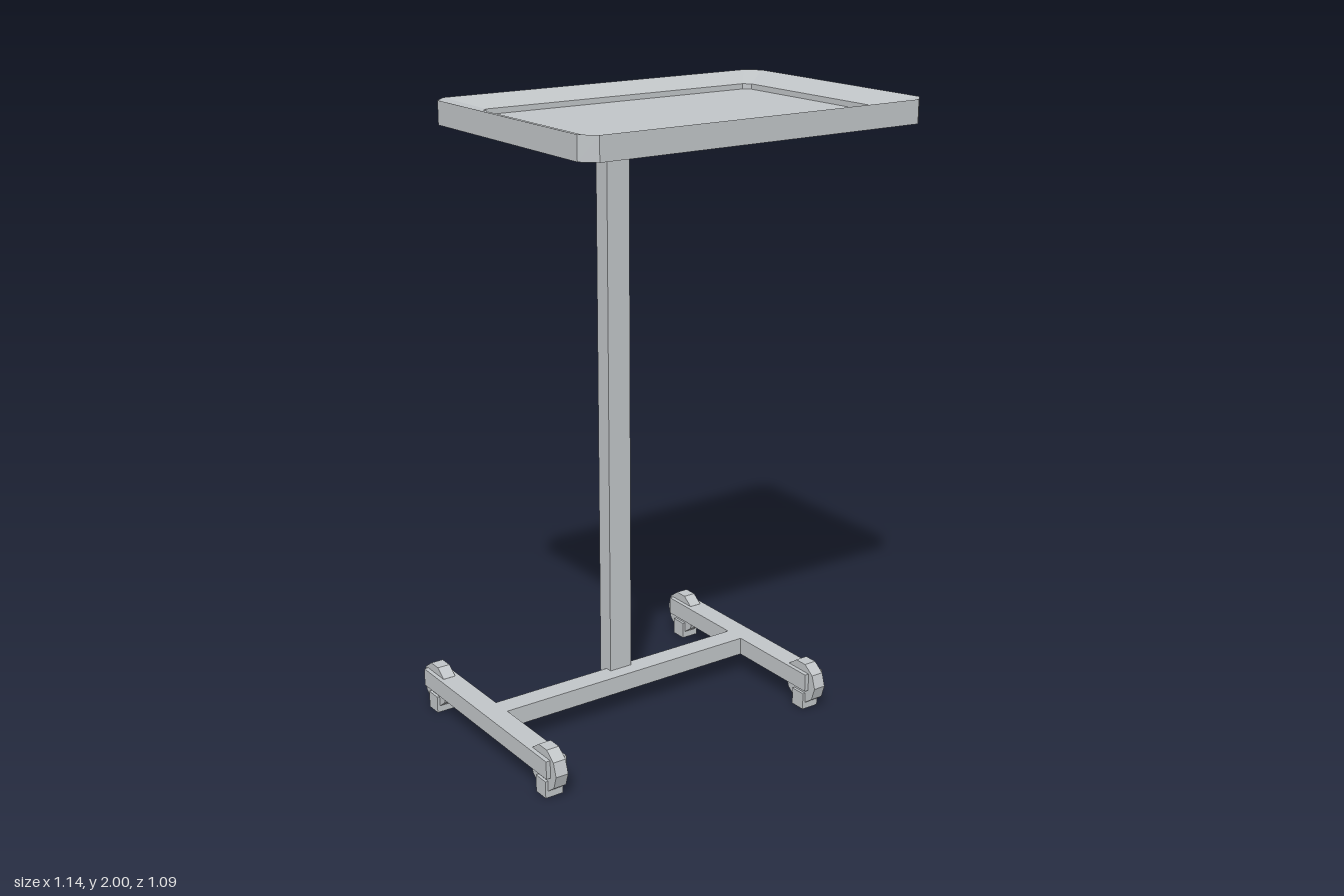
import * as THREE from 'three';

const metal = new THREE.MeshStandardMaterial({ color: 0xc0c4c7 });
metal.name = 'brushed grey metal';

function addMesh(parent, name, geometry, x, y, z) {
  const mesh = new THREE.Mesh(geometry, metal);
  mesh.name = name;
  mesh.position.set(x, y, z);
  parent.add(mesh);
  return mesh;
}

function addBox(parent, name, w, h, d, x, y, z) {
  return addMesh(parent, name, new THREE.BoxGeometry(w, h, d), x, y, z);
}

// Rectangle with cut corners at height y, counter-clockwise seen from above
function cutRectangle(halfX, halfZ, cut, y) {
  const a = halfX - cut, b = halfZ - cut;
  return [
    [halfX, b], [halfX, -b], [a, -halfZ], [-a, -halfZ],
    [-halfX, -b], [-halfX, b], [-a, halfZ], [a, halfZ],
  ].map(([x, z]) => new THREE.Vector3(x, y, z));
}

// Skin a series of loops and close the first and last one
function loftLoops(loops) {
  const points = [];
  const n = loops[0].length;
  for (let k = 0; k < loops.length - 1; k++) {
    const low = loops[k], high = loops[k + 1];
    for (let i = 0; i < n; i++) {
      const j = (i + 1) % n;
      points.push(low[i], low[j], high[j], low[i], high[j], high[i]);
    }
  }
  const first = loops[0], last = loops[loops.length - 1];
  for (let i = 1; i < n - 1; i++) {
    points.push(first[0], first[i + 1], first[i]);
    points.push(last[0], last[i], last[i + 1]);
  }
  const geometry = new THREE.BufferGeometry().setFromPoints(points);
  geometry.computeVertexNormals();
  return geometry;
}

// Swivel block and ten-sided wheel
function createCaster(name, x, z) {
  const caster = new THREE.Group();
  caster.name = name;
  caster.position.set(x, 0, z);
  addBox(caster, 'casterBlock', 0.06, 0.055, 0.053, 0, 0.0275, 0);
  const tread = new THREE.CylinderGeometry(0.072, 0.072, 0.042, 10).toNonIndexed();
  tread.rotateZ(Math.PI / 2);
  tread.computeVertexNormals();
  addMesh(caster, 'wheel', tread, 0, 0.087, 0);
  return caster;
}

export function createModel() {
  const model = new THREE.Group();
  model.name = 'trayStand';

  // Tray: outer wall, sloping rim, small step and recessed floor
  const tray = loftLoops([
    cutRectangle(0.57, 0.394, 0.04, 1.932),
    cutRectangle(0.57, 0.394, 0.04, 2),
    cutRectangle(0.47, 0.297, 0.02, 1.973),
    cutRectangle(0.47, 0.297, 0.02, 1.957),
  ]);
  addMesh(model, 'tray', tray, 0, 0, 0.153);

  // Column and its collar
  addBox(model, 'column', 0.08, 1.78, 0.058, 0, 0.96, -0.186);
  addBox(model, 'collar', 0.122, 0.073, 0.095, 0, 1.88, -0.184);

  // H-shaped base on four casters
  const base = new THREE.Group();
  base.name = 'base';
  model.add(base);
  addBox(base, 'crossbar', 0.92, 0.058, 0.07, 0, 0.1, -0.145);
  for (const [side, s] of [['left', 1], ['right', -1]]) {
    addBox(base, side + 'Leg', 0.07, 0.058, 0.745, s * 0.49, 0.1, -0.145);
    base.add(createCaster(side + 'FrontCaster', s * 0.49, 0.187));
    base.add(createCaster(side + 'RearCaster', s * 0.49, -0.472));
  }
  return model;
}
